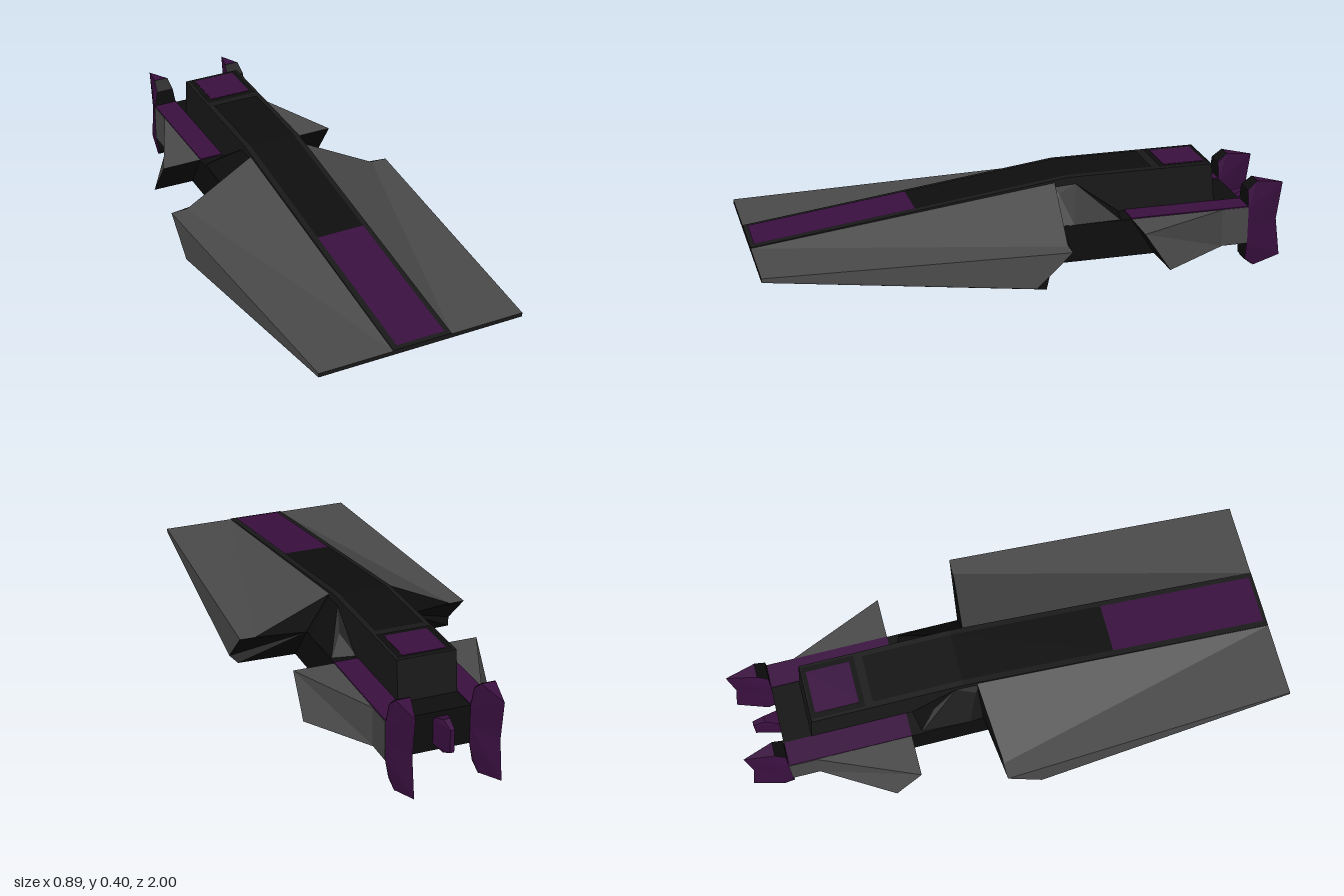
import * as THREE from 'three';
import { ConvexGeometry } from 'three/addons/geometries/ConvexGeometry.js';

const mat = (color) => new THREE.MeshStandardMaterial({ color, flatShading: true, side: THREE.DoubleSide });
const GREY = mat(0x4a4a4a), BLACK = mat(0x0e0e0e), TRIM = mat(0x191919), PURPLE = mat(0x3a1040);

// flat polygon, corners counter-clockwise from outside
function face(name, material, pts) {
  const pos = [];
  for (let i = 1; i < pts.length - 1; i++) pos.push(...pts[0], ...pts[i], ...pts[i + 1]);
  const g = new THREE.BufferGeometry();
  g.setAttribute('position', new THREE.Float32BufferAttribute(pos, 3));
  g.computeVertexNormals();
  const m = new THREE.Mesh(g, material);
  m.name = name;
  return m;
}

// convex faceted block
function block(name, material, pts) {
  const m = new THREE.Mesh(new ConvexGeometry(pts.map((p) => new THREE.Vector3(...p))), material);
  m.name = name;
  return m;
}

// prism across x from a [z, y] side profile
const prism = (name, material, halfWidth, profile) =>
  block(name, material, profile.flatMap(([z, y]) => [[halfWidth, y, z], [-halfWidth, y, z]]));

function box(name, material, x0, x1, y0, y1, z0, z1) {
  const m = new THREE.Mesh(new THREE.BoxGeometry(x1 - x0, y1 - y0, z1 - z0), material);
  m.position.set((x0 + x1) / 2, (y0 + y1) / 2, (z0 + z1) / 2);
  m.name = name;
  return m;
}

// everything that exists once per side, built for +x
function createSide(name) {
  const side = new THREE.Group();
  side.name = name;

  // front wedge
  const A = [0.11, 0.25, 1], B = [0.385, 0.25, 1], B2 = [0.385, 0.235, 1];
  const C = [0.385, 0.25, -0.09], D = [0.445, 0.25, -0.09];
  const E = [0.445, 0.125, 0.04], F = [0.425, 0.11, 0];
  const G = [0.2, 0.105, 0], G2 = [0.2, 0.25, -0.12], H = [0.11, 0.387, -0.12];
  side.add(
    face('wedgeTop', GREY, [A, B, C, H]),
    face('wedgeLip', GREY, [B, D, C]),
    face('wedgeSide', GREY, [B, B2, E, D]),
    face('wedgeRear', BLACK, [G2, H, C, D, E, F, G]),
    face('wedgeBottom', BLACK, [[0, 0.235, 1], [0, 0.105, 0], F, B2]),
    face('wedgeBottomEdge', BLACK, [B2, F, E]),
    face('wedgeNose', TRIM, [[0, 0.25, 1], [0, 0.235, 1], B2, B])
  );

  // shoulder sloping from the spine to the body
  side.add(block('neckShoulder', BLACK, [
    [0.1, 0.24, -0.09], [0.2, 0.24, -0.09], [0.2, 0.25, -0.17], [0.1, 0.24, -0.38], [0.2, 0.24, -0.36],
    [0.1, 0.38, -0.1], [0.11, 0.375, -0.2], [0.14, 0.31, -0.29], [0.13, 0.35, -0.13]
  ]));

  // rear wing
  const T = [0.353, 0.25, -0.39], L = [0.355, 0.1, -0.49];
  const rootTop = [0.2, 0.25, -0.39], rootLow = [0.2, 0.104, -0.48];
  const tailTop = [0.2, 0.25, -0.75], tailLow = [0.2, 0.104, -0.75];
  side.add(
    face('wingTop', GREY, [rootTop, T, tailTop]),
    face('wingSide', GREY, [T, L, tailLow, tailTop]),
    face('wingFront', BLACK, [rootTop, rootLow, L, T]),
    face('wingBottom', BLACK, [rootLow, tailLow, L]),
    box('bodySidePanel', GREY, 0.195, 0.202, 0.105, 0.25, -0.85, -0.73),
    box('deckStripe', PURPLE, 0.11, 0.2, 0.245, 0.254, -0.85, -0.39)
  );

  // tail fin: upper and lower halves mirrored about its middle height
  const mid = 0.175;
  for (const s of [1, -1]) {
    const y = (h) => mid + s * h;
    side.add(block(s > 0 ? 'finUpper' : 'finLower', PURPLE, [
      [0.11, mid, -0.85], [0.2, mid, -0.85], [0.11, y(0.07), -0.85], [0.2, y(0.07), -0.85],
      [0.122, y(0.138), -0.85], [0.188, y(0.138), -0.85],
      [0.128, y(0.17), -0.887], [0.182, y(0.17), -0.887],
      [0.16, y(0.148), -1], [0.16, mid, -0.98]
    ]));
    const front = [[0.11, mid, -0.848], [0.2, mid, -0.848], [0.2, y(0.07), -0.848], [0.188, y(0.138), -0.848],
      [0.122, y(0.138), -0.848], [0.11, y(0.07), -0.848]];
    const cap = [[0.122, y(0.14), -0.848], [0.188, y(0.14), -0.848], [0.182, y(0.172), -0.887], [0.128, y(0.172), -0.887]];
    if (s < 0) { front.reverse(); cap.reverse(); }
    side.add(face('finFront', BLACK, front), face('finCap', BLACK, cap));
  }
  return side;
}

export function createModel() {
  const model = new THREE.Group();
  model.name = 'spacecraft';

  const left = createSide('leftSide');
  const right = createSide('rightSide');
  right.scale.x = -1;
  model.add(left, right);

  // rear body and raised spine
  model.add(box('rearBody', BLACK, -0.2, 0.2, 0.105, 0.25, -0.85, 0));
  model.add(prism('spine', TRIM, 0.11, [
    [1, 0.238], [1, 0.253], [-0.17, 0.403], [-0.73, 0.403], [-0.745, 0.25], [-0.745, 0.24]
  ]));

  // inlays following the slope of the spine
  const top = (z) => 0.256 + 0.15 * Math.min(1, (1 - z) / 1.17);
  const inlay = (name, material, w, z0, z1) =>
    model.add(face(name, material, [[-w, top(z0), z0], [w, top(z0), z0], [w, top(z1), z1], [-w, top(z1), z1]]));
  inlay('noseInlay', PURPLE, 0.09, 0.985, 0.4);
  inlay('spineInlay', BLACK, 0.09, 0.4, -0.17);
  inlay('spineInlayRear', BLACK, 0.09, -0.17, -0.5);
  inlay('hatchFrame', BLACK, 0.1, -0.53, -0.725);
  model.add(box('hatch', PURPLE, -0.08, 0.08, 0.39, 0.4075, -0.71, -0.55));

  // small central tail fin
  model.add(block('centreFin', PURPLE, [
    ...[-1, 1].flatMap((s) => [
      [s * 0.027, 0.13, -0.85], [s * 0.027, 0.23, -0.85],
      [s * 0.012, 0.12, -0.9], [s * 0.012, 0.245, -0.9],
      [s * 0.008, 0.14, -0.945], [s * 0.008, 0.225, -0.945]
    ])
  ]));

  // block under the nose
  model.add(block('chinBlock', TRIM, [-1, 1].flatMap((s) => [
    [s * 0.045, 0.175, 0.455], [s * 0.045, 0.175, 0.425],
    [s * 0.057, 0.09, 0.455], [s * 0.057, 0.09, 0.405], [s * 0.057, 0.11, 0.405]
  ])));

  return model;
}
